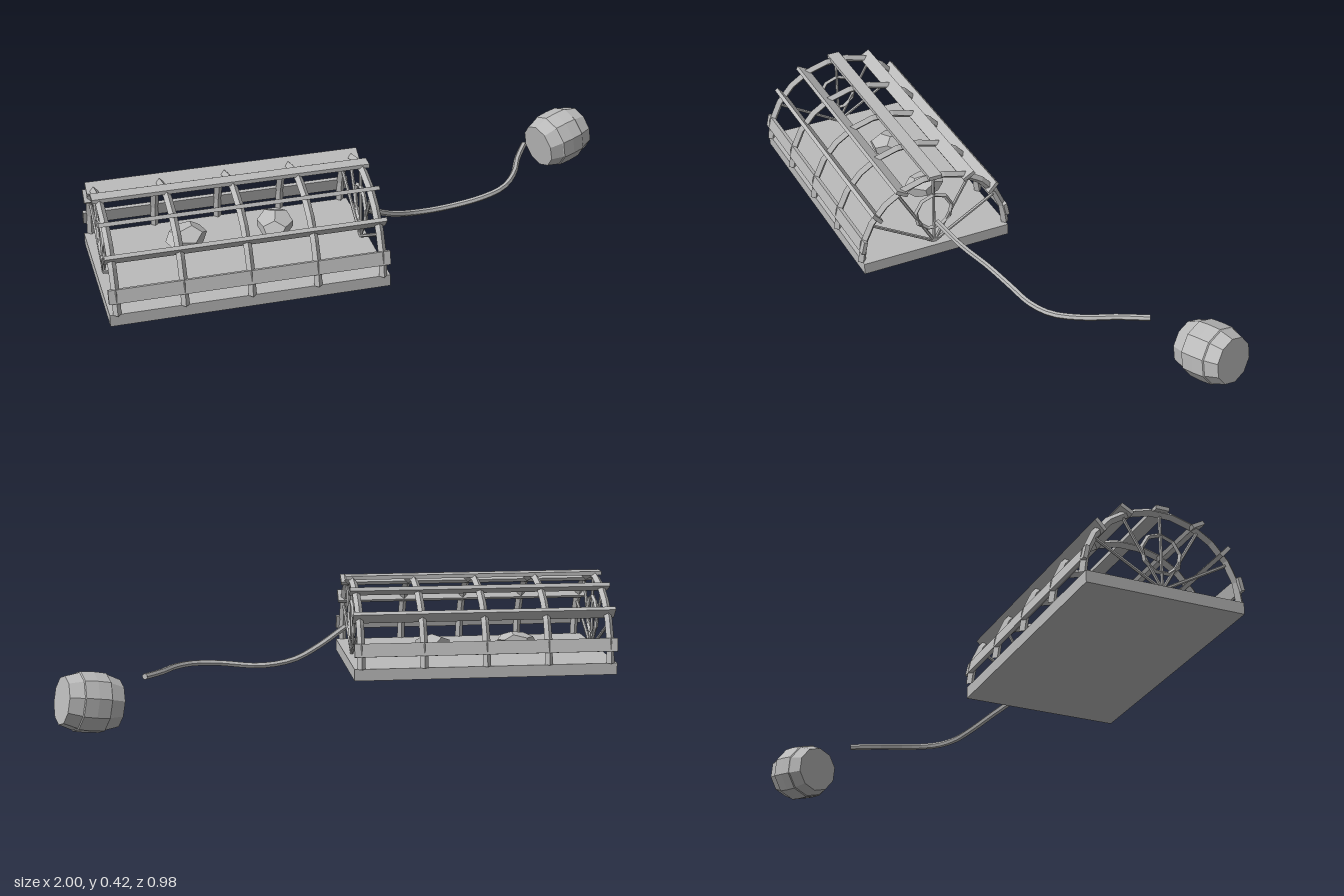
import * as THREE from 'three';

const grey = new THREE.MeshStandardMaterial({ color: 0xbbbbbb, flatShading: true });
grey.name = 'plainGrey';

const FLOOR = 0.13, MID_Z = 0.194, MID_X = -0.525, LENGTH = 0.95;
const UP = new THREE.Vector3(0, 1, 0);

function add(parent, name, geometry, x = 0, y = 0, z = 0) {
  const mesh = new THREE.Mesh(geometry, grey);
  mesh.name = name;
  mesh.position.set(x, y, z);
  parent.add(mesh);
  return mesh;
}

function buildCage() {
  const cage = new THREE.Group();
  cage.name = 'trapCage';
  add(cage, 'baseBoard', new THREE.BoxGeometry(LENGTH, 0.042, 0.562), MID_X, 0.109, MID_Z);

  // Five faceted half hoops
  const hoop = new THREE.TorusGeometry(0.275, 0.014, 4, 11, Math.PI).rotateY(Math.PI / 2);
  hoop.scale(1, 1, 1.02);
  for (let i = 0; i < 5; i++) add(cage, 'hoop', hoop, -0.975 + i * 0.225, FLOOR, MID_Z);

  // Long slats; the middle pairs are tilted across the hoops
  const slat = new THREE.BoxGeometry(LENGTH, 0.014, 0.048);
  function addSlat(degrees, tilt, side) {
    const a = THREE.MathUtils.degToRad(degrees);
    const mesh = add(cage, 'slat', slat, MID_X,
      FLOOR + 0.284 * Math.sin(a), MID_Z + side * 0.284 * Math.cos(a));
    mesh.rotation.x = side * THREE.MathUtils.degToRad(tilt);
  }
  addSlat(90, 0, 1);
  for (const side of [1, -1]) {
    addSlat(13.5, 77, side);
    addSlat(38, -48, side);
    addSlat(63, -29, side);
  }

  // Fan spokes and entry ring at each end
  const spoke = new THREE.CylinderGeometry(0.006, 0.006, 0.27, 6).translate(0, 0.135, 0);
  const ring = new THREE.TorusGeometry(0.07, 0.008, 4, 9).rotateZ(Math.PI / 2).rotateY(Math.PI / 2);
  for (const x of [-0.975, -0.075]) {
    for (let i = 1; i <= 5; i++) {
      add(cage, 'endSpoke', spoke, x, FLOOR, MID_Z).rotation.x = (i - 3) * Math.PI / 6;
    }
    add(cage, 'entryRing', ring, x, 0.257, MID_Z);
  }

  // Two ballast stones lying on the board
  const stone = new THREE.DodecahedronGeometry(1, 0);
  for (const [x, z, turn] of [[-0.675, 0.115, 0.4], [-0.36, 0.105, 1.3]]) {
    const mesh = add(cage, 'ballastStone', stone, x, 0.178, z);
    mesh.scale.set(0.075, 0.036, 0.067);
    mesh.rotation.set(0.15, turn, 0.1);
  }
  return cage;
}

function buildRope() {
  const path = new THREE.CatmullRomCurve3([
    [-0.05, 0.23, 0.195], [0.05, 0.173, 0.145], [0.15, 0.134, 0.092], [0.27, 0.121, 0.065],
    [0.42, 0.136, 0.055], [0.51, 0.145, 0.02], [0.58, 0.152, -0.06], [0.63, 0.156, -0.16],
    [0.69, 0.161, -0.255],
  ].map(p => new THREE.Vector3(...p)));
  const rope = new THREE.Group();
  rope.name = 'rope';
  add(rope, 'ropeLine', new THREE.TubeGeometry(path, 24, 0.011, 6));
  // Closed rope ends
  for (const [t, sign] of [[0, -1], [1, 1]]) {
    const cap = add(rope, 'ropeEnd', new THREE.CircleGeometry(0.011, 6));
    cap.position.copy(path.getPoint(t));
    cap.quaternion.setFromUnitVectors(new THREE.Vector3(0, 0, 1),
      path.getTangent(t).multiplyScalar(sign));
  }
  return rope;
}

function buildBarrel() {
  // Ten-sided barrel float with a bulging middle
  const barrel = new THREE.Group();
  barrel.name = 'barrelFloat';
  const profile = [[0, -0.096], [0.083, -0.096], [0.098, -0.048], [0.102, -0.045], [0.104, 0],
    [0.102, 0.045], [0.098, 0.048], [0.083, 0.096], [0, 0.096]]
    .map(p => new THREE.Vector2(...p));
  add(barrel, 'barrelBody', new THREE.LatheGeometry(profile, 10));
  barrel.position.set(0.877, 0.107, -0.383);
  barrel.quaternion.setFromUnitVectors(UP, new THREE.Vector3(0.93, 0.16, -0.31).normalize());
  return barrel;
}

export function createModel() {
  const model = new THREE.Group();
  model.name = 'trapWithFloat';
  model.add(buildCage(), buildRope(), buildBarrel());
  return model;
}
